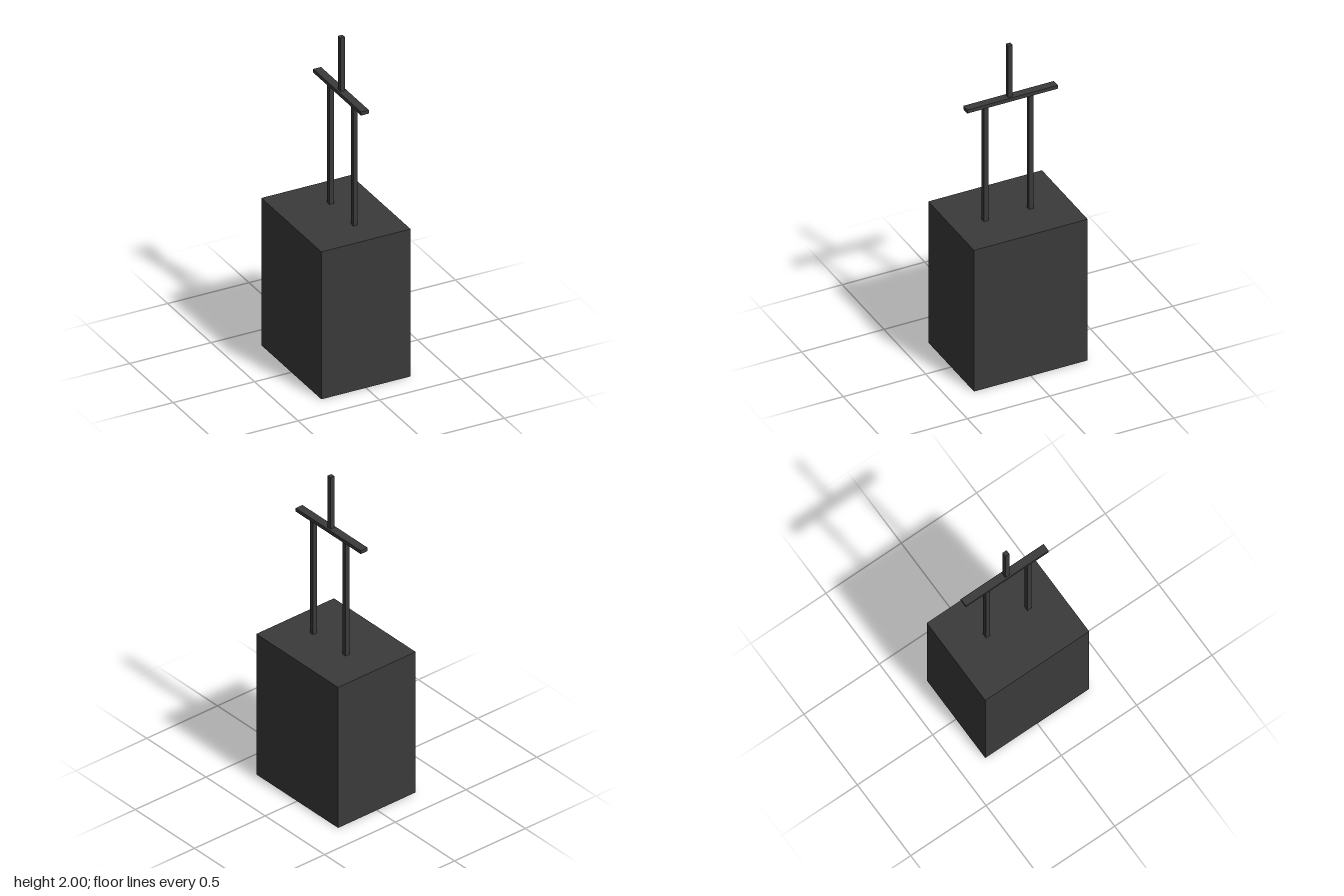
import * as THREE from 'three';

export function createModel() {
  const model = new THREE.Group();
  const material = new THREE.MeshStandardMaterial({ color: 0x3a3a3a, side: THREE.DoubleSide });

  // Box standing on height y0, reaching up to y1
  function block(name, width, depth, x, z, y0, y1) {
    const geometry = new THREE.BoxGeometry(width, y1 - y0, depth);
    const mesh = new THREE.Mesh(geometry, material);
    mesh.name = name;
    mesh.position.set(x, (y0 + y1) / 2, z);
    model.add(mesh);
    return mesh;
  }

  // Hollow base with an open underside: drop the bottom face (group 3)
  const base = block('base', 0.548, 0.69, 0, 0, 0, 0.91);
  const index = Array.from(base.geometry.index.array);
  index.splice(base.geometry.groups[3].start, 6);
  base.geometry.setIndex(index);
  base.geometry.clearGroups();

  // Two uprights carrying the crossbar
  const postX = 0.03;
  for (const [name, z] of [['frontPost', 0.155], ['backPost', -0.12]]) {
    block(name, 0.027, 0.027, postX, z, 0.91, 1.646);
  }

  // Crossbar and the mast on top of it
  block('crossbar', 0.048, 0.55, postX + 0.001, 0, 1.646, 1.668);
  block('mast', 0.027, 0.027, postX, 0.007, 1.668, 2);

  return model;
}
